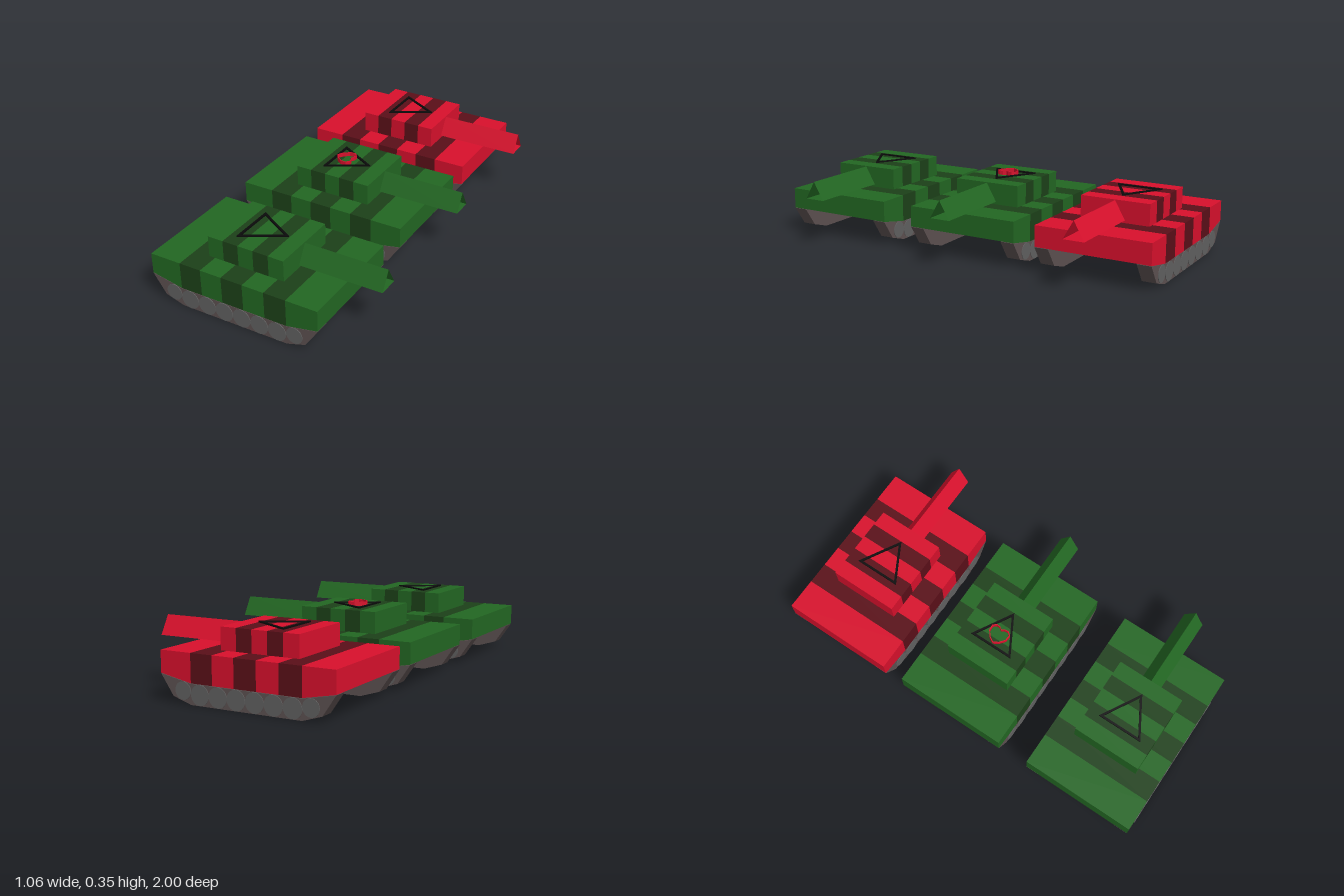
import * as THREE from 'three';

const HALF = 0.287; // half the hull width

function material(color, side = THREE.FrontSide) {
  return new THREE.MeshStandardMaterial({ color, side, flatShading: true });
}

function add(parent, name, geometry, mat, x = 0, y = 0, z = 0) {
  const mesh = new THREE.Mesh(geometry, mat);
  mesh.name = name;
  mesh.position.set(x, y, z);
  parent.add(mesh);
  return mesh;
}

const points = (list) => list.map(([x, y]) => new THREE.Vector2(x, y));

// Side profile (x, y) extruded along z and centred on z = 0
function slab(profile, width) {
  const geometry = new THREE.ExtrudeGeometry(new THREE.Shape(points(profile)), { depth: width, bevelEnabled: false });
  return geometry.translate(0, 0, -width / 2);
}

// Flat outline lying on the ground plane, given as (x, z), with a scaled copy cut out
function outline(list, cx, inner, height) {
  const shape = new THREE.Shape(points(list));
  shape.holes.push(new THREE.Path(points(list.map(([x, z]) => [cx + (x - cx) * inner, z * inner]))));
  const geometry = new THREE.ExtrudeGeometry(shape, { depth: height, bevelEnabled: false });
  return geometry.rotateX(-Math.PI / 2);
}

const trackProfile = [
  [-0.53, 0.125], [-0.465, 0.03], [-0.37, 0], [0.19, 0],
  [0.285, 0.03], [0.35, 0.125], [0.19, 0.094], [-0.37, 0.094],
];

function createTank(name, lightColor, darkColor) {
  const tank = new THREE.Group();
  tank.name = name;
  const paint = [material(lightColor), material(darkColor)];
  const trackMat = material(0x5c5050);
  const wheelMat = material(0x606060);

  // Hull: sloped ends and five striped panels between them
  const hull = new THREE.Group();
  hull.name = 'hull';
  tank.add(hull);
  add(hull, 'rearHull', slab([[-0.53, 0.127], [-0.37, 0.096], [-0.37, 0.23], [-0.53, 0.23]], HALF * 2), paint[0]);
  add(hull, 'frontHull', slab([[0.19, 0.096], [0.35, 0.127], [0.35, 0.23], [0.19, 0.23]], HALF * 2), paint[0]);
  for (let i = 0; i < 5; i++) {
    add(hull, 'hullStripe', new THREE.BoxGeometry(0.112, 0.134, HALF * 2), paint[(i + 1) % 2],
      -0.314 + i * 0.112, 0.163);
  }

  // Turret: five striped blocks
  const turret = new THREE.Group();
  turret.name = 'turret';
  tank.add(turret);
  for (let i = 0; i < 5; i++) {
    add(turret, 'turretStripe', new THREE.BoxGeometry(0.08, 0.105, 0.346), paint[i % 2],
      -0.25 + i * 0.08, 0.2825);
  }

  // Barrel: open three-sided tube with one edge on top
  const barrelGeo = new THREE.CylinderGeometry(0.06, 0.06, 0.42, 3, 1, true);
  barrelGeo.rotateX(Math.PI / 2).rotateZ(Math.PI).rotateY(Math.PI / 2);
  barrelGeo.computeBoundingBox();
  // keep the single edge uppermost
  if (Math.abs(barrelGeo.boundingBox.max.y - 0.06) > 0.001) barrelGeo.rotateX(Math.PI);
  add(tank, 'barrel', barrelGeo, material(lightColor, THREE.DoubleSide), 0.321, 0.273);

  // Triangular frame on the turret roof
  add(tank, 'roofTriangle', outline([[-0.175, -0.115], [0.028, 0], [-0.175, 0.115]], -0.107, 0.84, 0.007),
    material(0x0a0a0a), 0, 0.335);

  // Tracks with road wheels on the outer faces
  for (const side of [1, -1]) {
    const track = new THREE.Group();
    track.name = side > 0 ? 'leftTrack' : 'rightTrack';
    tank.add(track);
    add(track, 'trackBody', slab(trackProfile, 0.07), trackMat, 0, 0, side * (HALF - 0.035));
    for (let i = 0; i < 8; i++) {
      const end = i === 0 || i === 7;
      const r = end ? 0.041 : 0.0465;
      const x = i === 0 ? -0.413 : i === 7 ? 0.231 : -0.325 + (i - 1) * 0.0934;
      const wheel = new THREE.CylinderGeometry(r, r, 0.006, 32).rotateX(Math.PI / 2);
      add(track, 'wheel', wheel, wheelMat, x, end ? 0.06 : 0.048, side * HALF);
    }
  }
  return tank;
}

export function createModel() {
  const model = new THREE.Group();
  model.name = 'tankColumn';
  const green = [0x226622, 0x1c4018];
  const red = [0xd8102c, 0x5a0f18];

  const leftTank = createTank('leftTank', ...green);
  leftTank.position.z = 0.71;
  const middleTank = createTank('middleTank', ...green);
  middleTank.position.z = -0.026;
  const rightTank = createTank('rightTank', ...red);
  rightTank.position.z = -0.71;
  model.add(leftTank, middleTank, rightTank);

  // Thin red heart-shaped rim on the middle roof, tip towards the rear
  const heart = [
    [-0.16, 0], [-0.145, -0.027], [-0.115, -0.05], [-0.085, -0.052], [-0.07, -0.035], [-0.072, -0.015],
    [-0.082, 0], [-0.072, 0.015], [-0.07, 0.035], [-0.085, 0.052], [-0.115, 0.05], [-0.145, 0.027],
  ];
  add(middleTank, 'roofHeart', outline(heart, -0.108, 0.9, 0.02), material(0xd8102c), 0, 0.335);
  return model;
}
